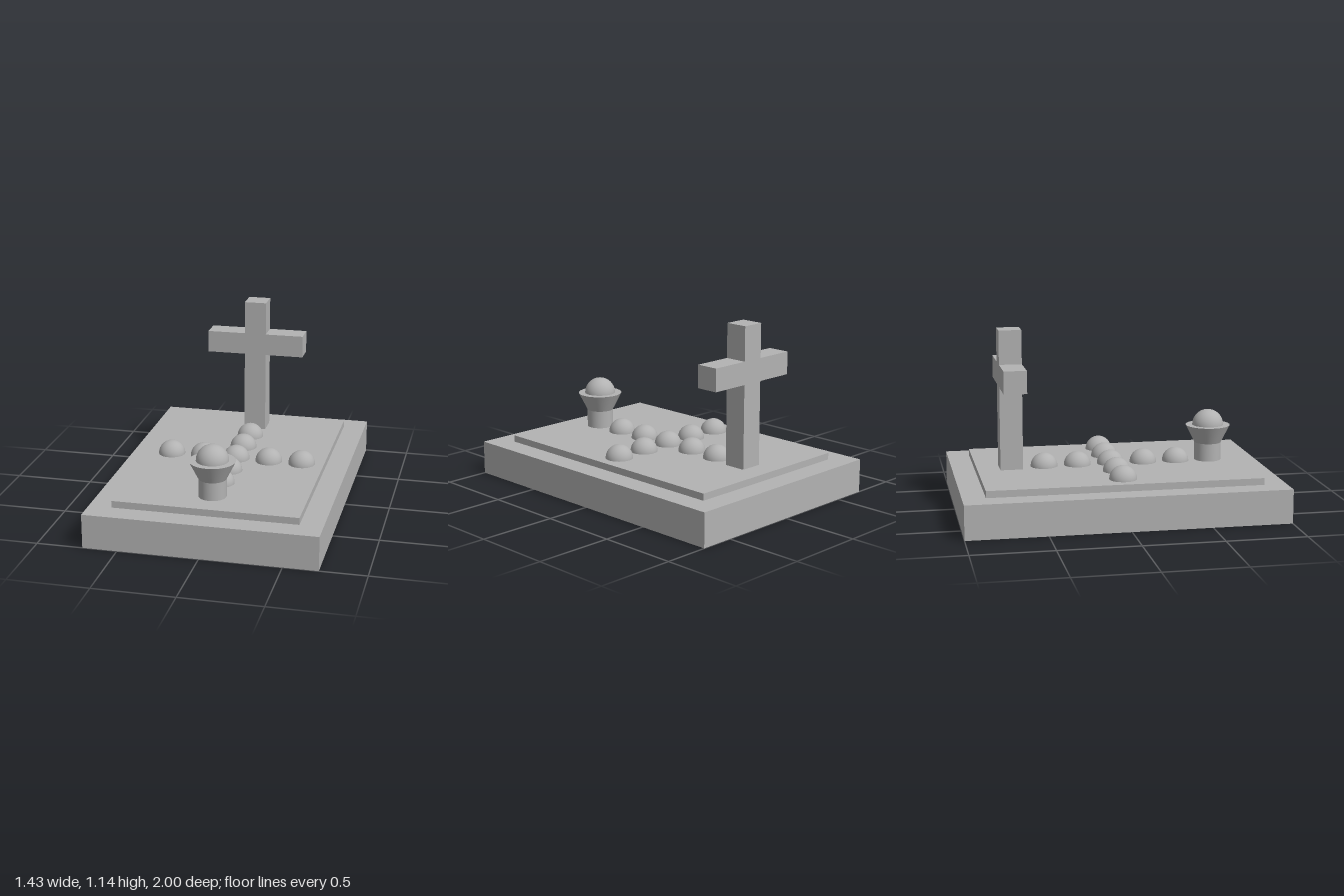
import * as THREE from 'three';

export function createModel() {
  const model = new THREE.Group();
  model.name = 'memorial';
  const stone = new THREE.MeshStandardMaterial({ color: 0xb2b2b2 });
  stone.name = 'grey stone';
  const U = 1 / 7; // design unit

  const add = (name, geometry, x, y, z) => {
    const mesh = new THREE.Mesh(geometry, stone);
    mesh.name = name;
    mesh.position.set(x * U, y * U, z * U);
    model.add(mesh);
    return mesh;
  };
  const box = (w, h, d) => new THREE.BoxGeometry(w * U, h * U, d * U);
  const dome = (r) => new THREE.SphereGeometry(r * U, 40, 16, 0, Math.PI * 2, 0, Math.PI / 2);

  // Stepped base
  const top = 1.8;
  add('base', box(10, 1.5, 14), 0, 0.75, 0);
  add('slab', box(8, 0.3, 12), 0, 1.65, 0);

  // Upright cross at the back
  const outline = [
    [-0.5, 1.8], [0.5, 1.8], [0.5, 5.5], [2.25, 5.5], [2.25, 6.5], [0.5, 6.5],
    [0.5, 8], [-0.5, 8], [-0.5, 6.5], [-2.25, 6.5], [-2.25, 5.5], [-0.5, 5.5],
  ].map(([x, y]) => new THREE.Vector2(x * U, y * U));
  add('cross', new THREE.ExtrudeGeometry(new THREE.Shape(outline), { depth: U, bevelEnabled: false }), 0, 0, -5);

  // Domes laid out in a cross on the slab
  const domeGeometry = dome(0.6);
  for (let i = -2; i <= 2; i++) {
    add('lengthwiseDome', domeGeometry, 0, top, i * 1.5);
    if (i !== 0) add('crosswiseDome', domeGeometry, i * 1.5, top, 0);
  }

  // Vase: round stem, flared bowl and a ball resting in it
  add('vaseStem', new THREE.CylinderGeometry(0.6 * U, 0.6 * U, 0.8 * U, 48), 0, top + 0.4, 4.5);
  add('vaseBowl', new THREE.CylinderGeometry(U, 0.6 * U, 0.8 * U, 48), 0, top + 1.2, 4.5);
  add('vaseBall', dome(0.7), 0, top + 1.6, 4.5);

  return model;
}
